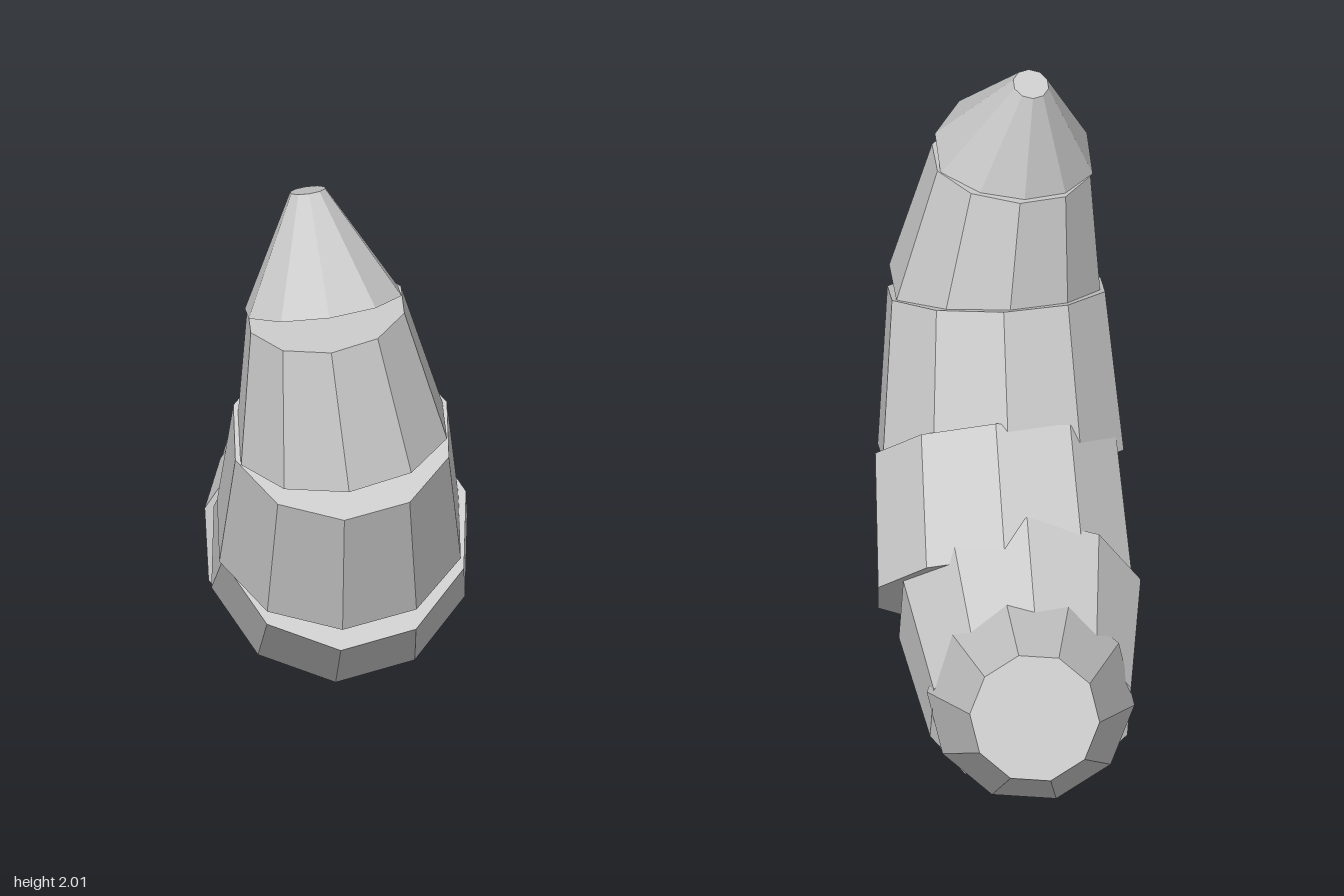
import * as THREE from 'three';

// Each segment runs from its tail end to its tip end: centres, radii and twist in degrees
const SEGMENTS = [
  { name: 'tailSegment', from: [-0.24, 0.575, -0.86], to: [-0.16, 0.36, -0.42], r0: 0.2, r1: 0.32, spin: 18 },
  { name: 'lowerSegment', from: [-0.16, 0.34, -0.43], to: [-0.06, 0.375, 0.02], r0: 0.32, r1: 0.385, spin: 5, tilt: [0.22, 0.19, 0.96] },
  { name: 'bendSegment', from: [0, 0.41, 0.1], to: [0.075, 0.7, 0.405], r0: 0.41, r1: 0.39, spin: 6 },
  { name: 'middleSegment', from: [0.065, 0.71, 0.44], to: [0.105, 1.175, 0.61], r0: 0.39, r1: 0.345, spin: 12 },
  { name: 'upperSegment', from: [0.11, 1.175, 0.625], to: [0.063, 1.63, 0.64], r0: 0.335, r1: 0.25, spin: 15 },
  { name: 'tipCone', from: [0.055, 1.655, 0.64], to: [-0.015, 1.985, 0.53], r0: 0.25, r1: 0.056, spin: 15 },
];

const SIDES = 10;
const material = new THREE.MeshStandardMaterial({ color: 0xcccccc, flatShading: true });

// A faceted, capped frustum lying between two points
function makeSegment({ name, from, to, r0, r1, spin, tilt }) {
  const a = new THREE.Vector3(...from);
  const b = new THREE.Vector3(...to);
  const axis = tilt ? new THREE.Vector3(...tilt) : b.clone().sub(a);
  axis.normalize();
  const geometry = new THREE.CylinderGeometry(r1, r0, a.distanceTo(b), SIDES);
  geometry.rotateY(THREE.MathUtils.degToRad(spin));
  // Frame along the axis, with its front turned toward the outside of the curve
  const front = new THREE.Vector3(1, 0, 0).cross(axis).normalize();
  const side = axis.clone().cross(front);
  const mesh = new THREE.Mesh(geometry, material);
  mesh.quaternion.setFromRotationMatrix(new THREE.Matrix4().makeBasis(side, axis, front));
  mesh.position.copy(a).add(b).multiplyScalar(0.5);
  mesh.name = name;
  return mesh;
}

export function createModel() {
  const group = new THREE.Group();
  group.name = 'curvedHorn';
  for (const segment of SEGMENTS) group.add(makeSegment(segment));
  return group;
}
